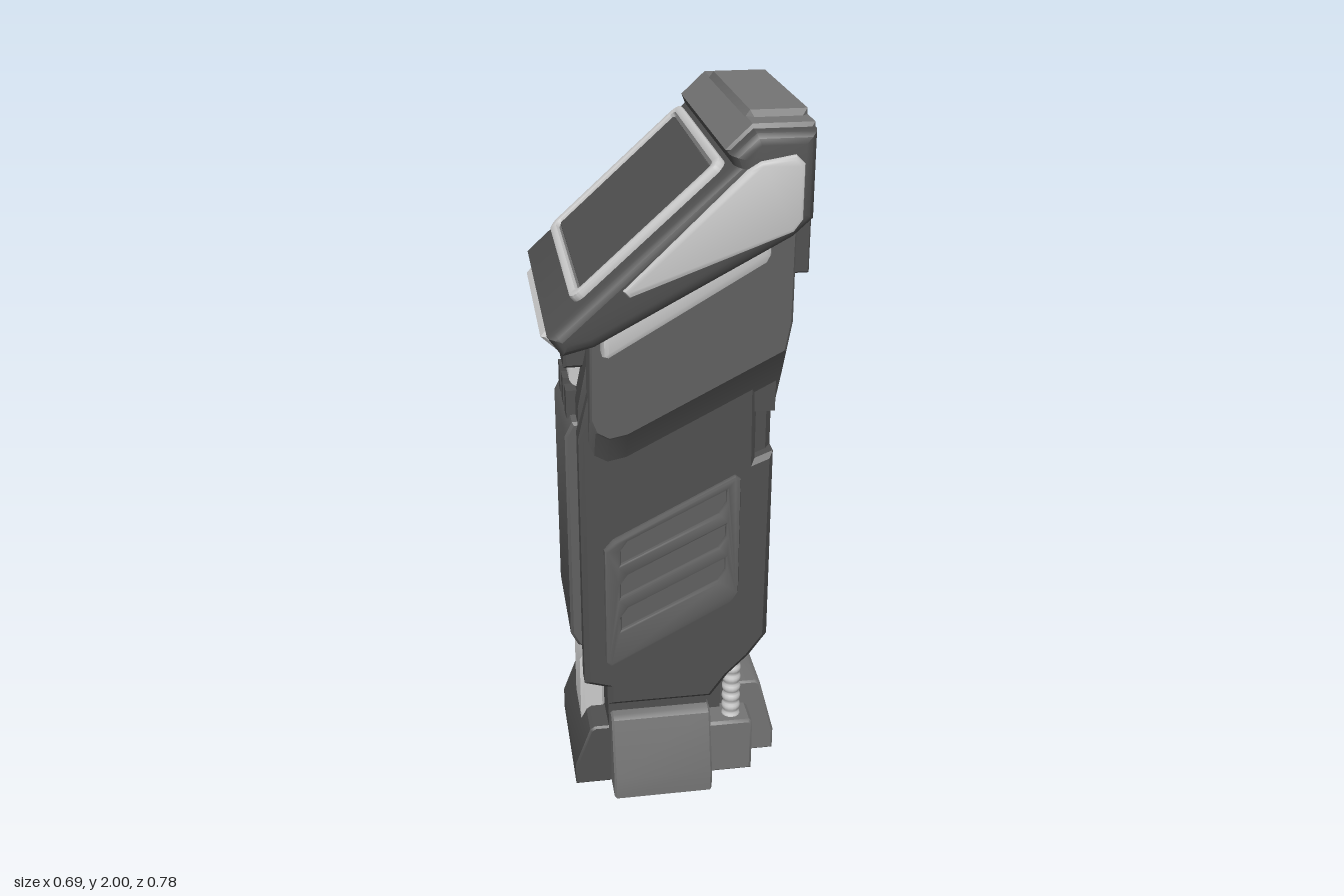
import * as THREE from 'three';
import { toCreasedNormals } from 'three/addons/utils/BufferGeometryUtils.js';

const paint = (c) => new THREE.MeshStandardMaterial({ color: c });
const DARK = paint(0x505050), MID = paint(0x747474), GRIP = paint(0x606060), LIGHT = paint(0xcccccc);

export function createModel() {
  const model = new THREE.Group();

  const add = (name, geo, mat, parent = model) => {
    const mesh = new THREE.Mesh(geo, mat);
    mesh.name = name;
    parent.add(mesh);
    return mesh;
  };
  const outline = (pts) => new THREE.Shape(pts.map((p) => new THREE.Vector2(p[0], p[1])));

  // Extrude an outline between z0 and z1, keeping the outer size despite the bevel
  const prism = (shape, z0, z1, bevel = 0.01, segments = 1) => {
    const geo = new THREE.ExtrudeGeometry(shape, {
      depth: z1 - z0 - 2 * bevel, bevelEnabled: bevel > 0, bevelSize: bevel, bevelThickness: bevel,
      bevelOffset: -bevel, bevelSegments: segments, curveSegments: 6,
    });
    geo.translate(0, 0, z0 + bevel);
    return toCreasedNormals(geo, 0.6);
  };
  const centred = (name, pts, half, mat, bevel, seg) =>
    add(name, prism(outline(pts), -half, half, bevel, seg), mat);
  const pair = (name, pts, z0, z1, mat, bevel, seg) => {
    add(name + 'Left', prism(outline(pts), z0, z1, bevel, seg), mat);
    add(name + 'Right', prism(outline(pts), -z1, -z0, bevel, seg), mat);
  };
  const box = (name, x0, x1, y0, y1, half, mat) => {
    const geo = new THREE.BoxGeometry(x1 - x0, y1 - y0, half * 2);
    geo.translate((x0 + x1) / 2, (y0 + y1) / 2, 0);
    return add(name, geo, mat);
  };

  // Handle: core and the two side shells
  centred('handleCore', [[-0.25, 0.45], [-0.19, 0.37], [0.17, 0.37], [0.27, 0.5], [0.27, 1.3],
    [0.27, 1.72], [-0.2, 1.46], [-0.25, 1.22]], 0.2, DARK, 0.015);
  pair('sideShell', [[-0.255, 0.5], [-0.255, 0.38], [-0.19, 0.36], [-0.19, 0.3], [0.11, 0.3], [0.16, 0.37],
    [0.22, 0.43], [0.27, 0.5], [0.27, 1.08], [0.22, 1.06], [0.22, 1.3], [-0.22, 1.3], [-0.255, 1.15]],
    0.16, 0.243, DARK, 0.015);
  centred('backPlate', [[0.2, 0.47], [0.25, 0.47], [0.275, 0.51], [0.275, 1.29], [0.2, 1.29]], 0.15, DARK, 0.006);
  box('upperCore', -0.19, 0.27, 1.2, 1.52, 0.235, DARK);
  centred('frontCover', [[-0.22, 0.45], [-0.265, 0.47], [-0.285, 0.51], [-0.285, 1.13], [-0.265, 1.17], [-0.22, 1.17]],
    0.17, GRIP, 0.008);

  // Upper side panels: lower outer edge pushed up into a sloping chamfer
  const cheek = [[-0.225, 1.46], [-0.23, 1.06], [-0.215, 1.02], [-0.18, 1.0], [-0.13, 1.01], [0.28, 1.22],
    [0.295, 1.3], [0.295, 1.74]];
  for (const side of [1, -1]) {
    const geo = prism(outline(cheek), 0.19, 0.295, 0.006);
    const p = geo.attributes.position;
    for (let i = 0; i < p.count; i++) {
      const low = p.getY(i) < 1.085 + 0.46 * (p.getX(i) + 0.2);
      if (low && p.getZ(i) > 0.25) p.setY(i, p.getY(i) + 0.17);
      else if (low && p.getZ(i) > 0.21) p.setZ(i, 0.235);
    }
    if (side < 0) {
      // mirror and reverse the corner order of each triangle
      geo.scale(1, 1, -1);
      for (let i = 0; i < p.count; i += 3) {
        const a = new THREE.Vector3().fromBufferAttribute(p, i);
        const c = new THREE.Vector3().fromBufferAttribute(p, i + 2);
        p.setXYZ(i, c.x, c.y, c.z);
        p.setXYZ(i + 2, a.x, a.y, a.z);
      }
    }
    add('cheekPanel' + (side > 0 ? 'Left' : 'Right'), toCreasedNormals(geo, 0.4), GRIP);
  }

  // Side grips: sloped frame with three slots over a recessed plate
  const gripPts = [[-0.195, 0.46], [-0.18, 0.445], [0.16, 0.625], [0.18, 0.66], [0.18, 1.01], [0.165, 1.022],
    [-0.17, 0.85], [-0.195, 0.82]];
  const gripShape = outline(gripPts);
  const slope = 0.5;
  for (let i = 0; i < 3; i++) {
    const y = 0.565 + i * 0.105;
    const at = (x, dy) => new THREE.Vector2(x, y + dy + (x + 0.15) * slope);
    gripShape.holes.push(new THREE.Path([at(-0.15, 0), at(-0.15, 0.04), at(-0.13, 0.06), at(0.14, 0.06),
      at(0.14, 0.025), at(0.12, 0)]));
  }
  for (const [label, a, b] of [['Left', 0.235, 0.257], ['Right', -0.257, -0.235]])
    add('grip' + label, prism(gripShape, a, b, 0.008, 2), GRIP);
  pair('gripBase', gripPts, 0.23, 0.247, GRIP, 0.004);

  // Head wedge with its raised cap
  centred('head', [[-0.335, 1.485], [-0.3, 1.435], [-0.22, 1.455], [0.27, 1.715], [0.32, 1.76], [0.32, 1.975],
    [0.17, 1.975], [0.11, 1.92], [0.12, 1.895], [-0.32, 1.5]], 0.375, DARK, 0.03, 3);
  centred('headCap', [[0.105, 1.925], [0.135, 1.9], [0.322, 1.85], [0.322, 1.985], [0.17, 1.985]], 0.335, MID, 0.015);
  centred('headCapRidge', [[0.13, 1.93], [0.31, 1.93], [0.322, 1.94], [0.322, 2], [0.18, 2]], 0.26, MID, 0.02);
  pair('sideWindow', [[-0.15, 1.605], [-0.135, 1.588], [0.265, 1.735], [0.287, 1.765], [0.287, 1.9], [0.265, 1.922],
    [0.18, 1.908], [0.15, 1.89]], 0.36, 0.39, LIGHT, 0.01, 2);
  pair('sideRail', [[-0.2, 1.425], [-0.185, 1.42], [0.21, 1.65], [0.22, 1.67], [0.22, 1.745], [-0.2, 1.51]],
    0.28, 0.36, LIGHT, 0.015, 2);
  centred('tipBumper', [[-0.345, 1.452], [-0.3, 1.41], [-0.27, 1.44], [-0.32, 1.48]], 0.26, LIGHT, 0.008);

  // Display on the sloping face
  const display = new THREE.Group();
  display.name = 'display';
  display.position.set(-0.075, 1.72, 0);
  display.rotation.z = Math.atan2(0.395, 0.44);
  model.add(display);
  const rounded = (hx, hz, r) => {
    const s = new THREE.Shape();
    s.moveTo(-hx + r, -hz);
    s.lineTo(hx - r, -hz).absarc(hx - r, -hz + r, r, -Math.PI / 2, 0);
    s.lineTo(hx, hz - r).absarc(hx - r, hz - r, r, 0, Math.PI / 2);
    s.lineTo(-hx + r, hz).absarc(-hx + r, hz - r, r, Math.PI / 2, Math.PI);
    s.lineTo(-hx, -hz + r).absarc(-hx + r, -hz + r, r, Math.PI, Math.PI * 1.5);
    return s;
  };
  const ring = rounded(0.25, 0.315, 0.035);
  ring.holes.push(rounded(0.226, 0.289, 0.02));
  const lay = (geo) => geo.rotateX(-Math.PI / 2);
  add('displayFrame', lay(prism(ring, -0.02, 0.02, 0.006, 2)), LIGHT, display);
  add('displayBed', lay(prism(rounded(0.235, 0.3, 0.02), -0.02, 0.006, 0)), MID, display);
  add('screen', lay(prism(rounded(0.217, 0.28, 0.008), -0.01, 0.012, 0.002)), DARK, display);

  // Vent housing on the back with upright slats
  const ventSide = [[0.26, 1.58], [0.345, 1.58], [0.345, 1.76], [0.325, 1.86], [0.26, 1.86]];
  pair('ventWall', ventSide, 0.197, 0.237, DARK, 0.004);
  box('ventSill', 0.26, 0.345, 1.58, 1.63, 0.2, DARK);
  box('ventBack', 0.25, 0.322, 1.6, 1.86, 0.2, DARK);
  for (let i = 0; i < 11; i++) {
    const z = (i - 5) * 0.0355;
    add('ventSlat', prism(outline([[0.3, 1.63], [0.343, 1.63], [0.343, 1.76], [0.326, 1.858], [0.3, 1.858]]),
      z - 0.0155, z + 0.0155, 0.003), LIGHT);
  }
  centred('backPad', [[0.24, 1.29], [0.285, 1.29], [0.293, 1.3], [0.293, 1.58], [0.24, 1.58]], 0.167, LIGHT, 0.006);

  // Latch below the tip
  centred('latchBlock', [[-0.28, 1.31], [-0.2, 1.31], [-0.2, 1.47], [-0.28, 1.44]], 0.13, DARK, 0.008);
  const pin = new THREE.CylinderGeometry(0.03, 0.03, 0.2, 16);
  add('latchPin', pin.rotateX(Math.PI / 2).translate(-0.235, 1.275, 0), LIGHT);
  for (const z of [-0.09, 0, 0.09])
    box('latchHook', -0.275, -0.22, 1.16, 1.24, 0.025, DARK).position.z = z;

  // Lower column, strut and ribbed rods
  box('column', -0.18, 0.16, 0.12, 0.45, 0.125, DARK);
  box('columnFlank', -0.185, 0.105, 0.1, 0.34, 0.2, DARK);
  centred('frontStrut', [[-0.255, 0.1], [-0.18, 0.1], [-0.18, 0.42], [-0.22, 0.42], [-0.255, 0.36]], 0.09, LIGHT, 0.012);
  const rib = [];
  for (let i = 0; i <= 48; i++)
    rib.push(new THREE.Vector2(0.021 + 0.007 * Math.abs(Math.sin(i * Math.PI / 8 * 1.5)), 0.16 + i * 0.0062));
  for (const z of [0.155, -0.155])
    add('ribbedRod', new THREE.LatheGeometry(rib, 16).translate(0.187, 0, z), LIGHT);

  // Feet: one profile facing outward, turned to each side
  const foot = (name, turn, inner, outer, half, top, mat, shiftX = 0) => {
    const geo = prism(outline([[inner, 0], [outer, 0], [outer, 0.07], [outer - 0.045, top - 0.01],
      [outer - 0.06, top], [inner, top]]), -half, half, 0.006);
    add(name, geo.rotateY(turn).translate(shiftX, 0, 0), mat);
  };
  foot('footLeft', -Math.PI / 2, 0.17, 0.283, 0.145, 0.255, MID, -0.035);
  foot('footRight', Math.PI / 2, 0.17, 0.283, 0.145, 0.255, MID, -0.035);
  foot('footBack', 0, 0.2, 0.33, 0.115, 0.255, MID);
  foot('footFront', Math.PI, 0.17, 0.285, 0.2, 0.2, DARK);
  pair('rodSocket', [[0.1, 0], [0.245, 0], [0.245, 0.17], [0.235, 0.18], [0.1, 0.18]], 0.1, 0.205, MID, 0.008);

  return model;
}
